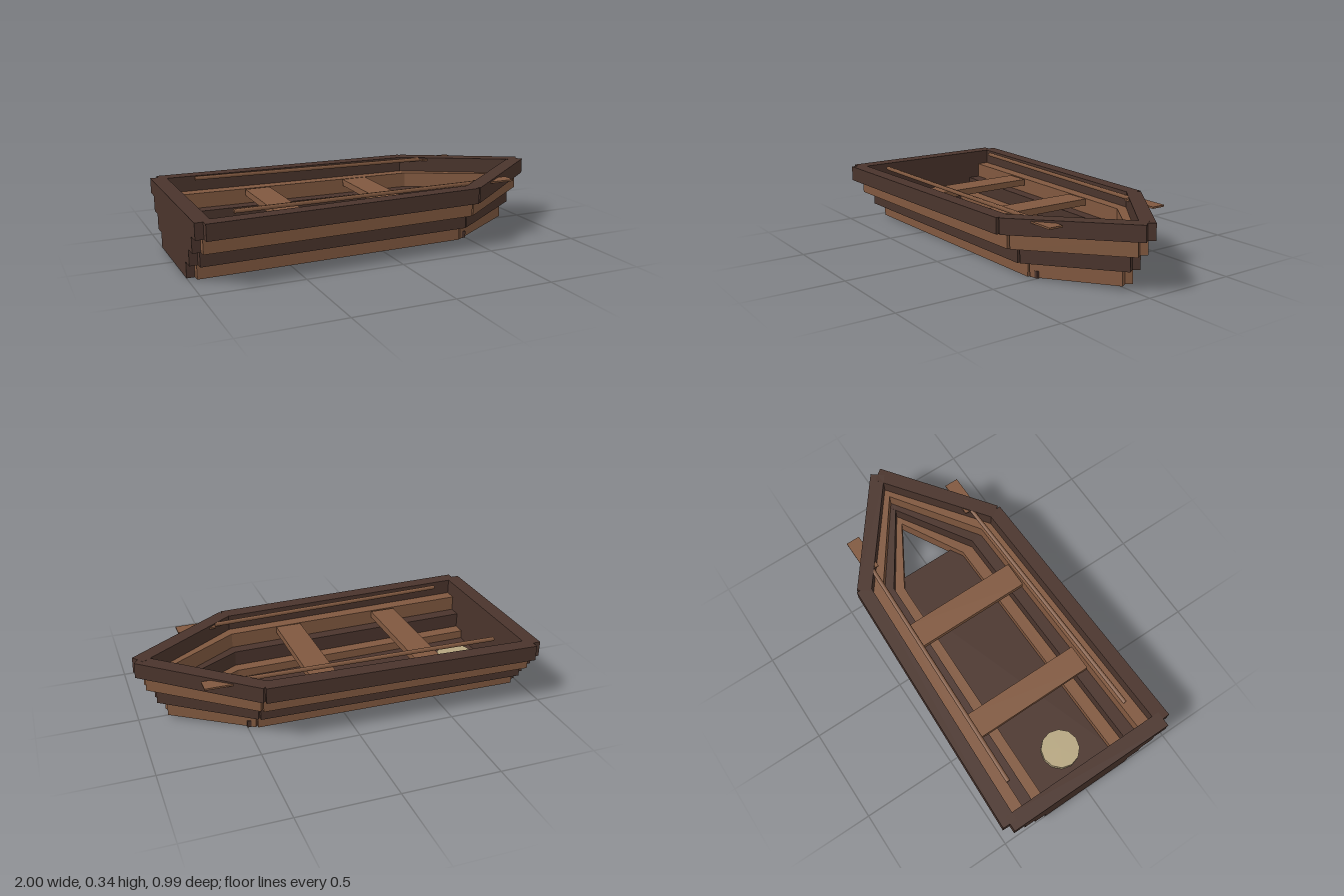
import * as THREE from 'three';

const mat = (name, color) => {
  const m = new THREE.MeshStandardMaterial({ color });
  m.name = name;
  return m;
};

export function createModel() {
  const boat = new THREE.Group();
  boat.name = 'rowingBoat';
  const dark = mat('darkWood', 0x4a342c);
  const brown = mat('brownWood', 0x80583f);
  const cream = mat('ropeCream', 0xb5a580);

  const add = (name, geometry, material, x = 0, y = 0, z = 0) => {
    const mesh = new THREE.Mesh(geometry, material);
    mesh.name = name;
    mesh.position.set(x, y, z);
    boat.add(mesh);
    return mesh;
  };
  const box = (name, material, [x0, x1], [y0, y1], [z0, z1]) =>
    add(name, new THREE.BoxGeometry(x1 - x0, y1 - y0, z1 - z0), material,
      (x0 + x1) / 2, (y0 + y1) / 2, (z0 + z1) / 2);

  // straight board whose centre line runs from a to b
  const board = (name, material, a, b, height, thickness) => {
    const start = new THREE.Vector3(...a), end = new THREE.Vector3(...b);
    const mesh = add(name, new THREE.BoxGeometry(thickness, height, start.distanceTo(end)), material);
    mesh.position.copy(start).add(end).multiplyScalar(0.5);
    mesh.lookAt(end);
  };

  // four strakes of planking, each wider than the one below
  const H = 0.08, T = 0.075;
  for (let i = 0; i < 4; i++) {
    const wood = i % 2 ? dark : brown;
    const y = H * (i + 0.5);
    const sternZ = 0.256 + 0.067 * i;
    const shoulderZ = 0.23 + 0.06 * i;
    const tipX = 0.836 + 0.0455 * i;
    for (const s of [1, -1]) {
      board('sidePlank', wood, [-0.96, y, s * sternZ], [0.45, y, s * shoulderZ], H, T);
      board('bowPlank', wood, [0.44, y, s * shoulderZ], [tipX, y + 0.02, 0], H, T);
    }
    box('transomBoard', dark, [-1, -0.92], [H * i, H * (i + 1)], [-sternZ, sternZ]);
  }

  // floor
  box('floor', dark, [-0.96, 0.5], [0, 0.035], [-0.25, 0.25]);

  // bench seats
  box('rearBench', brown, [-0.525, -0.39], [0.205, 0.24], [-0.325, 0.325]);
  box('frontBench', brown, [0.038, 0.175], [0.205, 0.24], [-0.315, 0.315]);

  // oars resting along each side
  for (const s of [1, -1]) {
    const a = new THREE.Vector3(-0.79, 0.322, s * 0.35);
    const b = new THREE.Vector3(0.56, 0.313, s * 0.31);
    const shaft = add('oarShaft', new THREE.CylinderGeometry(0.011, 0.011, a.distanceTo(b), 6), brown);
    shaft.position.copy(a).add(b).multiplyScalar(0.5);
    shaft.quaternion.setFromUnitVectors(new THREE.Vector3(0, 1, 0), b.clone().sub(a).normalize());
    box('oarBlade', brown, [0.52, 0.72], [0.308, 0.317], [s * 0.311 - 0.037, s * 0.311 + 0.037]);
  }

  // coiled rope on the floor
  add('ropeCoil', new THREE.CylinderGeometry(0.1, 0.1, 0.035, 12), cream, -0.768, 0.052, 0);

  return boat;
}
